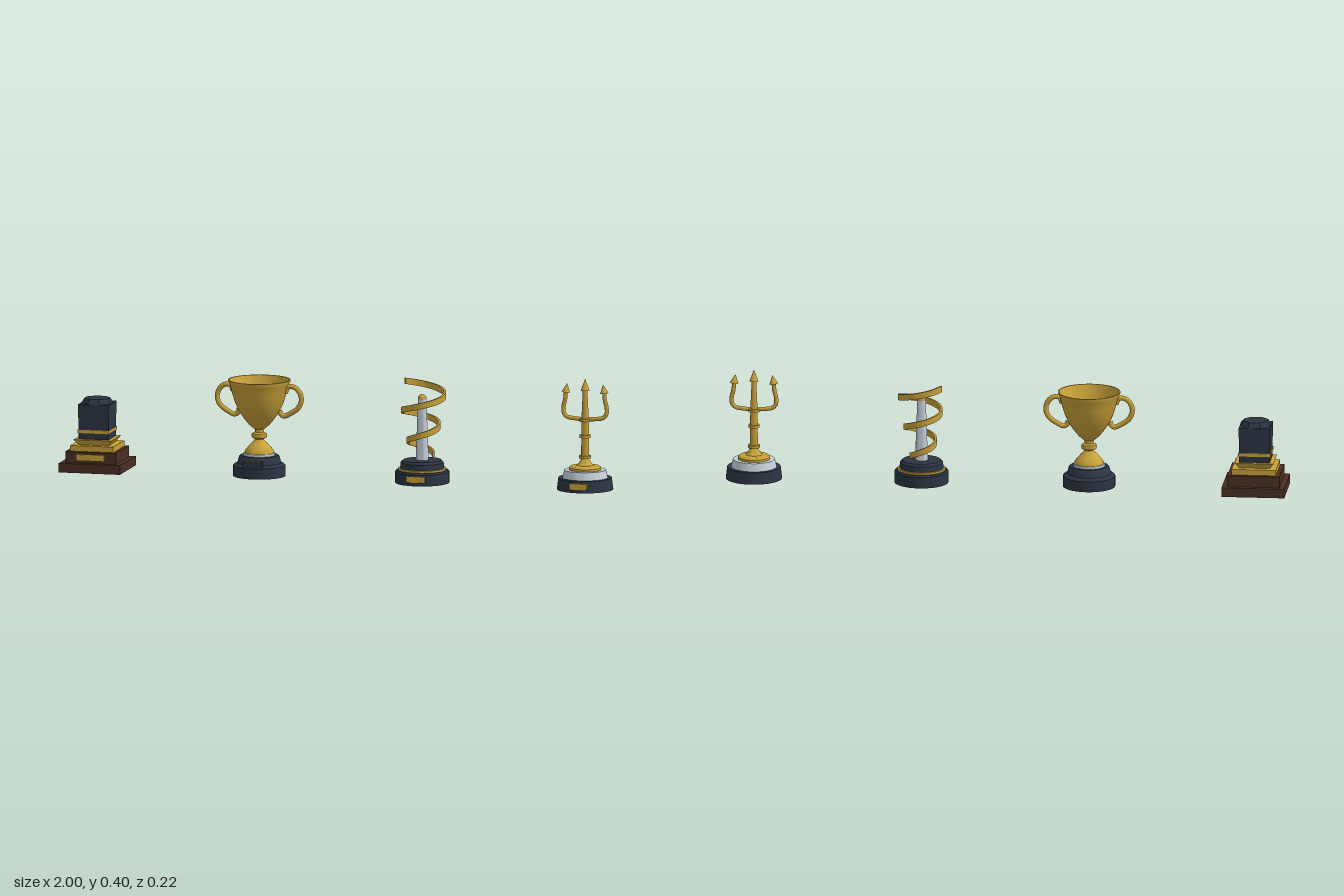
import * as THREE from 'three';
import { toCreasedNormals } from 'three/addons/utils/BufferGeometryUtils.js';

const material = (name, color) => Object.assign(new THREE.MeshStandardMaterial({ color }), { name });
const gold = material('gold', 0xc9a23a);
const dark = material('dark slate', 0x2b3542);
const silver = material('silver', 0xc6d0d9);
const wood = material('dark wood', 0x4a2f23);

function add(parent, name, geometry, mat, x = 0, y = 0, z = 0) {
  const mesh = new THREE.Mesh(geometry, mat);
  mesh.name = name;
  mesh.position.set(x, y, z);
  parent.add(mesh);
  return mesh;
}

// Turned part from [radius, height] pairs, listed bottom to top
function turned(parent, name, profile, mat, segments = 48) {
  const points = profile.map(([r, y]) => new THREE.Vector2(r, y));
  return add(parent, name, toCreasedNormals(new THREE.LatheGeometry(points, segments), 0.6), mat);
}

// Square block standing from y0 to y1, with half widths at its bottom and top
function squareBlock(parent, name, y0, y1, bottom, top, mat) {
  const geometry = new THREE.CylinderGeometry(top * Math.SQRT2, bottom * Math.SQRT2, y1 - y0, 4);
  geometry.rotateY(Math.PI / 4);
  return add(parent, name, toCreasedNormals(geometry, 0.5), mat, 0, (y0 + y1) / 2, 0);
}

function tube(parent, name, points, radius, mat) {
  const curve = new THREE.CatmullRomCurve3(points.map(([x, y]) => new THREE.Vector3(x, y, 0)));
  return add(parent, name, new THREE.TubeGeometry(curve, 40, radius, 12), mat);
}

function trophy(name, x) {
  const group = new THREE.Group();
  group.name = name;
  group.position.x = x;
  return group;
}

// Square column on a stepped wooden plinth
function columnTrophy() {
  const g = trophy('columnTrophy', -0.888);
  squareBlock(g, 'lowerPlinth', 0, 0.033, 0.112, 0.112, wood);
  squareBlock(g, 'upperPlinth', 0.033, 0.073, 0.093, 0.093, wood);
  squareBlock(g, 'goldStep', 0.073, 0.093, 0.079, 0.079, gold);
  squareBlock(g, 'flaredMoulding', 0.093, 0.113, 0.055, 0.069, gold);
  squareBlock(g, 'column', 0.113, 0.238, 0.054, 0.056, dark);
  squareBlock(g, 'columnBand', 0.135, 0.147, 0.057, 0.057, gold);
  const cap = new THREE.CylinderGeometry(0.046, 0.058, 0.018, 8).rotateY(Math.PI / 8);
  add(g, 'octagonalCap', toCreasedNormals(cap, 0.4), dark, 0, 0.247, 0);
  add(g, 'plaque', new THREE.BoxGeometry(0.1, 0.02, 0.006), gold, 0, 0.054, 0.094);
  return g;
}

// Two-handled cup
function cupTrophy() {
  const g = trophy('cupTrophy', -0.294);
  turned(g, 'cupBase', [[0, 0], [0.093, 0], [0.093, 0.038], [0.088, 0.043], [0.078, 0.047],
    [0.072, 0.07], [0.068, 0.074], [0, 0.074]], dark);
  turned(g, 'silverRing', [[0, 0.074], [0.056, 0.074], [0.056, 0.083], [0, 0.083]], silver);
  turned(g, 'cupFoot', [[0, 0.083], [0.052, 0.083], [0.05, 0.092], [0.042, 0.102], [0.03, 0.116],
    [0.018, 0.127], [0.016, 0.132], [0.026, 0.137], [0.028, 0.144], [0.026, 0.152], [0.016, 0.157],
    [0.015, 0.172], [0, 0.172]], gold);
  // Outer wall upwards, then inner wall back down
  turned(g, 'bowl', [[0, 0.165], [0.018, 0.168], [0.037, 0.184], [0.054, 0.205], [0.071, 0.23],
    [0.086, 0.262], [0.096, 0.295], [0.104, 0.328], [0.111, 0.341], [0.111, 0.345], [0.106, 0.345],
    [0.099, 0.325], [0.091, 0.295], [0.081, 0.262], [0.066, 0.232], [0.049, 0.208], [0.03, 0.188],
    [0, 0.176]], gold);
  for (const s of [-1, 1]) {
    tube(g, s > 0 ? 'leftHandle' : 'rightHandle', [[0.096, 0.302], [0.106, 0.322], [0.128, 0.322],
      [0.148, 0.303], [0.154, 0.275], [0.142, 0.248], [0.115, 0.228], [0.09, 0.217], [0.078, 0.225],
      [0.074, 0.238]].map(([x, y]) => [x * s, y]), 0.009, gold);
  }
  add(g, 'plaque', new THREE.BoxGeometry(0.07, 0.024, 0.022), dark, 0, 0.05, 0.09);
  add(g, 'plaqueTrim', new THREE.BoxGeometry(0.06, 0.002, 0.012), gold, 0, 0.062, 0.092);
  return g;
}

// Flat ribbon rising in a widening helix, from rectangular cross-sections
function ribbonGeometry() {
  const steps = 160, positions = [], index = [];
  const corners = [[-1, -1], [1, -1], [1, 1], [-1, 1]];
  for (let i = 0; i <= steps; i++) {
    const t = i / steps;
    const angle = THREE.MathUtils.degToRad(-600 + 837 * t);
    const radius = 0.042 + 0.046 * t, y = 0.1 + 0.254 * t;
    for (const [v, u] of corners) {
      const r = radius + u * 0.004;
      positions.push(r * Math.sin(angle), y + v * 0.011, r * Math.cos(angle));
    }
    if (i === steps) break;
    for (let k = 0; k < 4; k++) {
      const a = i * 4 + k, b = i * 4 + (k + 1) % 4;
      index.push(a, b, a + 4, b, b + 4, a + 4);
    }
  }
  const e = steps * 4;
  index.push(0, 2, 1, 0, 3, 2, e, e + 1, e + 2, e, e + 2, e + 3);
  const geometry = new THREE.BufferGeometry();
  geometry.setAttribute('position', new THREE.Float32BufferAttribute(positions, 3));
  geometry.setIndex(index);
  return toCreasedNormals(geometry, 0.6);
}

// Silver pillar wrapped by a spiral ribbon
function spiralTrophy() {
  const g = trophy('spiralTrophy', 0.303);
  turned(g, 'spiralBase', [[0, 0], [0.096, 0], [0.096, 0.04], [0.091, 0.046], [0, 0.046]], dark);
  turned(g, 'goldRing', [[0, 0.046], [0.085, 0.046], [0.085, 0.053], [0, 0.053]], gold);
  turned(g, 'upperBase', [[0, 0.053], [0.078, 0.053], [0.076, 0.073], [0.068, 0.081], [0, 0.082]], dark);
  turned(g, 'pillar', [[0, 0.08], [0.023, 0.08], [0.015, 0.3], [0, 0.3]], silver, 32);
  add(g, 'pillarTip', new THREE.SphereGeometry(0.015, 24, 16), gold, 0, 0.302, 0);
  add(g, 'spiralRibbon', ribbonGeometry(), gold);
  add(g, 'plaque', new THREE.BoxGeometry(0.068, 0.022, 0.014), gold, 0, 0.024, 0.093);
  return g;
}

// Three-pronged spear on a round base
function tridentTrophy() {
  const g = trophy('tridentTrophy', 0.9);
  turned(g, 'tridentBase', [[0, 0], [0.1, 0], [0.095, 0.042], [0, 0.042]], dark);
  turned(g, 'silverTier', [[0, 0.042], [0.081, 0.042], [0.074, 0.07], [0, 0.07]], silver);
  turned(g, 'goldFoot', [[0, 0.07], [0.057, 0.07], [0.057, 0.078], [0.05, 0.084], [0.03, 0.086],
    [0.022, 0.094], [0.014, 0.108], [0, 0.108]], gold);
  turned(g, 'shaft', [[0, 0.1], [0.014, 0.1], [0.013, 0.25], [0.008, 0.358], [0, 0.358]], gold, 24);
  for (const [y, r] of [[0.116, 0.021], [0.19, 0.02], [0.248, 0.02]]) {
    add(g, 'collar', new THREE.CylinderGeometry(r, r, 0.01, 32), gold, 0, y, 0);
  }
  add(g, 'centreHead', new THREE.ConeGeometry(0.016, 0.042, 20), gold, 0, 0.375, 0);
  for (const s of [-1, 1]) {
    const side = s > 0 ? 'left' : 'right';
    tube(g, side + 'Prong', [[0, 0.25], [0.04, 0.253], [0.066, 0.258], [0.078, 0.272],
      [0.079, 0.295], [0.073, 0.32], [0.07, 0.352]].map(([x, y]) => [x * s, y]), 0.0075, gold);
    const head = add(g, side + 'Head', new THREE.ConeGeometry(0.015, 0.032, 20), gold, s * 0.068, 0.362, 0);
    head.rotation.z = s * 0.15;
  }
  add(g, 'plaque', new THREE.BoxGeometry(0.064, 0.022, 0.012), gold, 0, 0.023, 0.095);
  return g;
}

export function createModel() {
  const model = new THREE.Group();
  model.name = 'trophySet';
  model.add(columnTrophy(), cupTrophy(), spiralTrophy(), tridentTrophy());
  return model;
}
